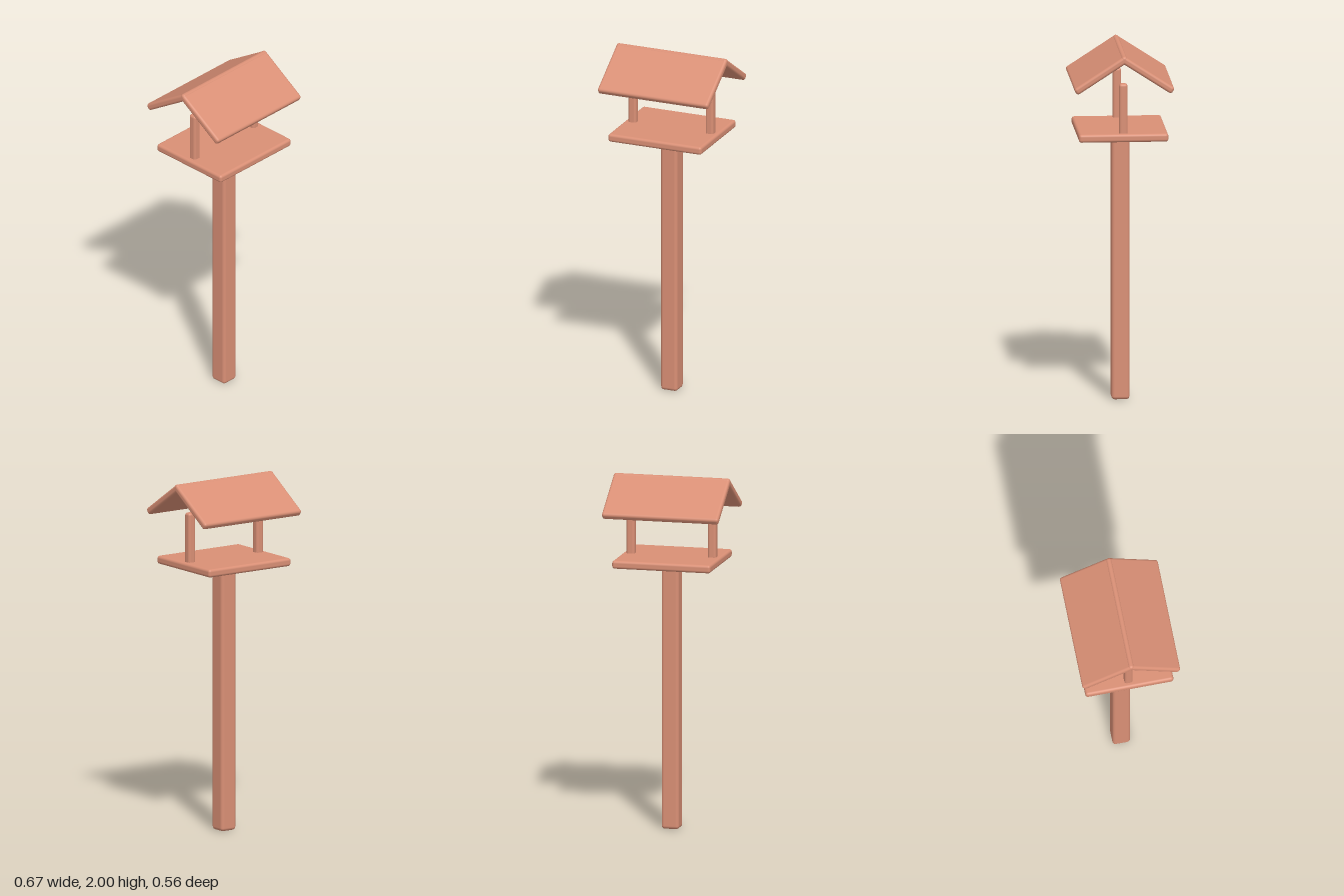
import * as THREE from 'three';
import { RoundedBoxGeometry } from 'three/addons/geometries/RoundedBoxGeometry.js';

export function createModel() {
  const model = new THREE.Group();
  model.name = 'birdFeeder';
  const wood = new THREE.MeshStandardMaterial({ color: 0xd98f75 });
  wood.name = 'warm wood';

  // Softly rounded board centred at (x, y, z)
  function board(name, w, h, d, x, y, z, radius = 0.015) {
    const mesh = new THREE.Mesh(new RoundedBoxGeometry(w, h, d, 3, radius), wood);
    mesh.name = name;
    mesh.position.set(x, y, z);
    model.add(mesh);
    return mesh;
  }

  // Ground post and feeding platform
  board('post', 0.1, 1.505, 0.1, 0, 0.7525, 0, 0.018);
  board('platform', 0.566, 0.046, 0.5, 0, 1.528, 0);

  // Two uprights in the middle of the short sides
  for (const side of [-1, 1]) {
    board(side > 0 ? 'leftUpright' : 'rightUpright', 0.047, 0.3, 0.047, side * 0.234, 1.681, 0, 0.014);
  }

  // Two sloping roof panels meeting at the ridge
  const slope = 0.576;
  for (const side of [-1, 1]) {
    const panel = board(side > 0 ? 'frontRoofPanel' : 'backRoofPanel', 0.67, 0.04, 0.345, 0, 1.895, side * 0.128);
    panel.rotation.x = side * slope;
  }
  return model;
}
